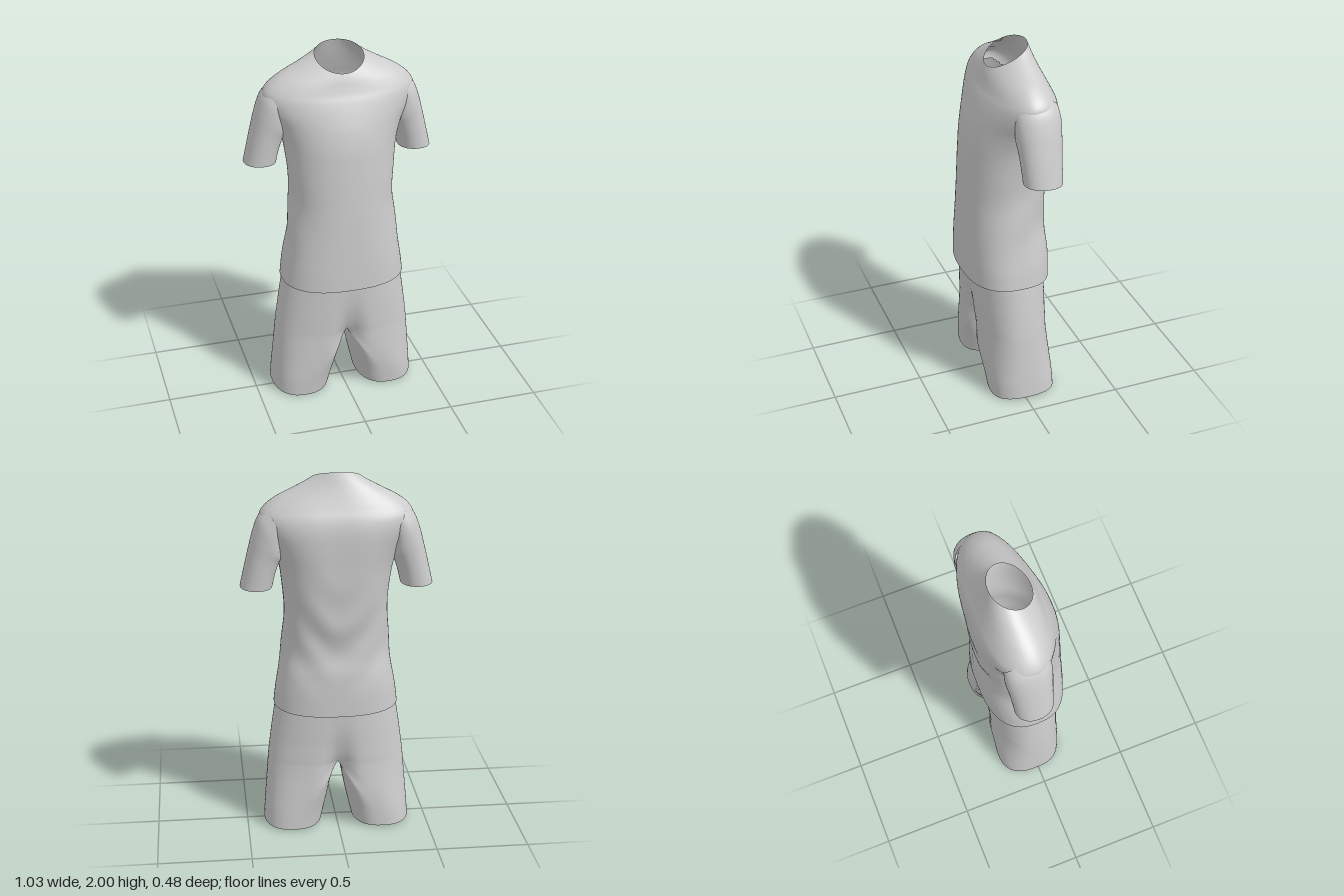
import * as THREE from 'three';
import { mergeGeometries, mergeVertices } from 'three/addons/utils/BufferGeometryUtils.js';

const SEG = 80;

// Smoothly resample a table of cross-section rows
function resample(rows, steps) {
  const out = [];
  for (let s = 0; s <= steps; s++) {
    const t = (s / steps) * (rows.length - 1);
    const i = Math.min(Math.floor(t), rows.length - 2), f = t - i;
    const a = rows[Math.max(i - 1, 0)], b = rows[i], c = rows[i + 1], d = rows[Math.min(i + 2, rows.length - 1)];
    out.push(b.map((v, k) => v + 0.5 * f * (c[k] - a[k] +
      f * (2 * a[k] - 5 * v + 4 * c[k] - d[k] + f * (3 * (v - c[k]) + d[k] - a[k])))));
  }
  return out;
}

// Skin closed loops running from the bottom up; side = -1 mirrors in x, isHole leaves openings
function loft(rows, pointAt, side = 1, isHole = () => false) {
  const pts = [], idx = [];
  rows.forEach((row) => {
    for (let j = 0; j < SEG; j++) {
      const p = pointAt(row, (j / SEG) * Math.PI * 2);
      pts.push([p[0] * side, p[1], p[2]]);
    }
  });
  for (let i = 0; i < rows.length - 1; i++) {
    for (let j = 0; j < SEG; j++) {
      const a = i * SEG + j, b = i * SEG + ((j + 1) % SEG), c = a + SEG, d = b + SEG;
      if (isHole(pts[a])) continue;
      if (side > 0) idx.push(a, c, b, b, c, d);
      else idx.push(a, b, c, b, d, c);
    }
  }
  const g = new THREE.BufferGeometry();
  g.setAttribute('position', new THREE.Float32BufferAttribute(pts.flat(), 3));
  g.setIndex(idx);
  g.computeVertexNormals();
  return g;
}

const power = (v, p) => Math.sign(v) * Math.abs(v) ** p;
const bump = (v, centre, width) => Math.exp(-(((v - centre) / width) ** 2));
const { smoothstep } = THREE.MathUtils;

// Torso rows: front y, side y, back y, half width, front z, back z
const torsoRows = [
  [0.69, 0.70, 0.68, 0.340, 0.243, -0.222],
  [0.80, 0.80, 0.80, 0.328, 0.243, -0.222],
  [0.90, 0.90, 0.90, 0.312, 0.242, -0.216],
  [1.00, 1.00, 1.00, 0.297, 0.240, -0.205],
  [1.10, 1.10, 1.10, 0.287, 0.238, -0.208],
  [1.20, 1.20, 1.20, 0.282, 0.234, -0.219],
  [1.30, 1.30, 1.30, 0.284, 0.229, -0.228],
  [1.40, 1.40, 1.40, 0.291, 0.223, -0.235],
  [1.50, 1.50, 1.50, 0.306, 0.215, -0.240],
  [1.60, 1.60, 1.60, 0.340, 0.196, -0.244],
  [1.68, 1.69, 1.69, 0.388, 0.171, -0.241],
  [1.745, 1.76, 1.76, 0.408, 0.146, -0.226],
  [1.785, 1.81, 1.82, 0.385, 0.127, -0.200],
  [1.82, 1.86, 1.87, 0.322, 0.114, -0.179],
  [1.85, 1.90, 1.92, 0.242, 0.104, -0.160],
  [1.875, 1.935, 1.965, 0.170, 0.094, -0.145],
  [1.89, 1.955, 2.00, 0.130, 0.087, -0.133],
];

function torsoPoint([yf, ys, yb, w, zf, zb], a) {
  const c = Math.cos(a), s = Math.sin(a);
  // Boxy at the hem and shoulder blades, rounder at the chest, waist and neck
  const p = s > 0
    ? 0.79 + 0.12 * smoothstep(ys, 0.75, 1.2) + 0.09 * smoothstep(ys, 1.3, 1.7)
    : 0.78 + 0.07 * bump(ys, 1.15, 0.2) + 0.22 * smoothstep(ys, 1.75, 1.95);
  const x = w * power(c, p);
  const yMid = (yf + yb) / 2;
  const y = yMid + ((yf - yb) / 2) * s + (ys - yMid) * c * c;
  let z = (zf + zb) / 2 + ((zf - zb) / 2) * power(s, p);
  // Spine hollow and steep drapes on the back, slanting folds on the flanks
  if (s < 0) {
    const spread = Math.sqrt(x * x + 0.004);
    z += s * s * (0.010 * bump(x, 0, 0.1) * bump(y, 1.6, 0.2) +
      0.007 * bump(y, 1.12, 0.22) * Math.sin(22 * (y - 1.5 * spread)));
  }
  const fold = 0.005 * Math.abs(c) ** 3 * bump(y, 1.12, 0.25) * Math.sin(16 * y + 14 * z);
  return [x - Math.sign(c) * fold, y, z];
}

// Opening from the torso into each sleeve
const armhole = ([x, y, z]) => Math.abs(x) > 0.28 && ((y - 1.645) / 0.085) ** 2 + ((z + 0.062) / 0.09) ** 2 < 1;

// Sleeve rows: outer x, outer y, inner x, inner y, centre z, half depth
const sleeveRows = [
  [0.515, 1.390, 0.343, 1.388, -0.062, 0.103],
  [0.492, 1.490, 0.326, 1.460, -0.062, 0.108],
  [0.468, 1.590, 0.305, 1.520, -0.062, 0.114],
  [0.443, 1.685, 0.290, 1.550, -0.062, 0.121],
  [0.411, 1.765, 0.288, 1.600, -0.063, 0.123],
  [0.360, 1.820, 0.290, 1.660, -0.064, 0.118],
];

function sleevePoint([ox, oy, ix, iy, cz, hz], a) {
  const t = (1 + power(Math.cos(a), 0.92)) / 2;
  const s = power(Math.sin(a), 0.92);
  return [ix + (ox - ix) * t, iy + (oy - iy) * t + 0.006 * s, cz + hz * s];
}

// Hip rows: y, half width, front z, back z, centre dip, roundness
const hipRows = [
  [0.385, 0.377, 0.197, -0.199, 0.065, 0.80],
  [0.43, 0.372, 0.200, -0.200, 0.046, 0.815],
  [0.50, 0.363, 0.204, -0.200, 0.026, 0.84],
  [0.58, 0.352, 0.207, -0.201, 0.012, 0.86],
  [0.70, 0.333, 0.210, -0.200, 0.003, 0.88],
  [0.80, 0.310, 0.210, -0.195, 0, 0.88],
  [0.92, 0.280, 0.205, -0.185, 0, 0.88],
];

// Shared outline for the hips and the tops of the legs
function shortsZ(x, s, zf, zb, dip, round) {
  const e = power(s, round);
  return (zf + zb) / 2 + ((zf - zb) / 2) * e - dip * e * bump(x, 0, 0.06);
}

function hipPoint([y, w, zf, zb, dip, round], a) {
  const x = w * power(Math.cos(a), round);
  return [x, y, shortsZ(x, Math.sin(a), zf, zb, dip, round)];
}

// Leg rows: y, outer x, middle x, inner x, front z, back z, centre dip
const legRows = [
  [0.010, 0.405, 0.247, 0.088, 0.163, -0.200, 0],
  [0.100, 0.400, 0.212, 0.068, 0.174, -0.200, 0.010],
  [0.200, 0.392, 0.140, 0.046, 0.184, -0.200, 0.035],
  [0.290, 0.385, 0.068, 0.029, 0.191, -0.199, 0.060],
  [0.350, 0.380, 0.022, 0.014, 0.195, -0.199, 0.070],
  [0.385, 0.377, 0.000, 0.000, 0.197, -0.199, 0.065],
];

function legPoint([y, xo, xm, xi, zf, zb, dip], a) {
  const c = power(Math.cos(a), 0.8), s = Math.sin(a);
  const x = xm + c * (c > 0 ? xo - xm : xm - xi);
  const hem = bump(y, 0, 0.05);
  return [x, y + hem * (0.008 - 0.018 * s * s * (s > 0 ? 1 : 0.6)), shortsZ(x, s, zf, zb, dip, 0.8)];
}

// Join the hips and both legs into one smooth surface
function shortsGeometry() {
  const legs = resample(legRows, 30);
  const parts = [loft(resample(hipRows, 28), hipPoint), loft(legs, legPoint), loft(legs, legPoint, -1)];
  parts.forEach((g) => g.deleteAttribute('normal'));
  const joined = mergeVertices(mergeGeometries(parts), 1e-4);
  joined.computeVertexNormals();
  return joined;
}

export function createModel() {
  const model = new THREE.Group();
  model.name = 'sportsKit';
  const cloth = new THREE.MeshStandardMaterial({ color: 0xcccccc, side: THREE.DoubleSide });
  cloth.name = 'light grey cloth';

  const add = (parent, name, geometry) => {
    const mesh = new THREE.Mesh(geometry, cloth);
    mesh.name = name;
    parent.add(mesh);
  };

  const shirt = new THREE.Group();
  shirt.name = 'shirt';
  add(shirt, 'shirtBody', loft(resample(torsoRows, 112), torsoPoint, 1, armhole));

  // Mirrored sleeves
  for (const [name, side] of [['leftSleeve', 1], ['rightSleeve', -1]]) {
    add(shirt, name, loft(resample(sleeveRows, 36), sleevePoint, side));
  }

  model.add(shirt);
  add(model, 'shorts', shortsGeometry());
  return model;
}
